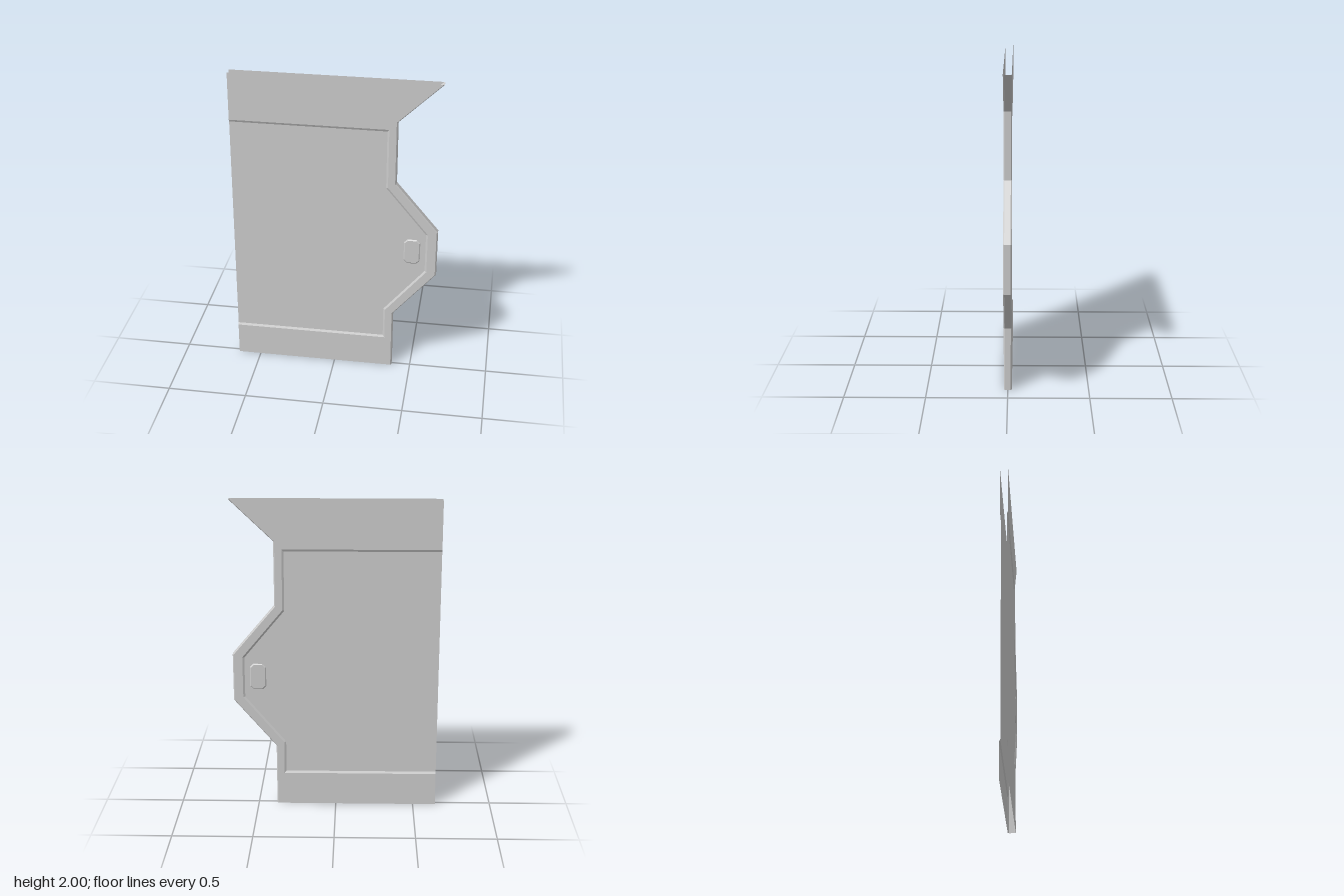
import * as THREE from 'three';

const LEFT = -0.645, SKIN = 0.025, FLOOR = 0.018, CHAMFER = 0.007;

// right-hand edge of the panel, bottom to top
const EDGE = [[0.38, 0], [0.38, 0.405], [0.645, 0.717], [0.645, 1.02], [0.38, 1.335], [0.38, 1.745], [0.645, 2]];
// rim and foot of the bevel around the recessed field, bottom to top
const RIM = [[LEFT, 0.214], [0.33, 0.214], [0.33, 0.428], [0.585, 0.735], [0.585, 1.002], [0.33, 1.31], [0.33, 1.696], [LEFT, 1.696]];
const FOOT = [[LEFT, 0.228], [0.318, 0.228], [0.318, 0.432], [0.573, 0.739], [0.573, 0.998], [0.318, 1.306], [0.318, 1.682], [LEFT, 1.682]];

const material = new THREE.MeshStandardMaterial({ color: 0xcccccc, flatShading: true, side: THREE.DoubleSide });

function part(name, geometry, z = 0) {
  const mesh = new THREE.Mesh(geometry, material);
  mesh.name = name;
  mesh.position.z = z;
  return mesh;
}

const shape = (points) => new THREE.Shape(points.map(([x, y]) => new THREE.Vector2(x, y)));

// flat-faced bands joining successive chains, each given as { points, z }
function loft(chains) {
  const pos = [];
  for (let c = 0; c < chains.length - 1; c++) {
    const a = chains[c], b = chains[c + 1];
    for (let i = 0; i < a.points.length - 1; i++) {
      const a0 = [...a.points[i], a.z], a1 = [...a.points[i + 1], a.z];
      const b0 = [...b.points[i], b.z], b1 = [...b.points[i + 1], b.z];
      pos.push(...a0, ...a1, ...b1, ...a0, ...b1, ...b0);
    }
  }
  const geometry = new THREE.BufferGeometry();
  geometry.setAttribute('position', new THREE.Float32BufferAttribute(pos, 3));
  geometry.computeVertexNormals();
  return geometry;
}

// raised plate with clipped corners and a bevelled edge
function plateGeometry(w, h, clip) {
  const x = w / 2, y = h / 2;
  const outline = [[-x + clip, -y], [x - clip, -y], [x, -y + clip], [x, y - clip],
    [x - clip, y], [-x + clip, y], [-x, y - clip], [-x, -y + clip]];
  return new THREE.ExtrudeGeometry(shape(outline), {
    depth: 0.002, bevelEnabled: true, bevelSegments: 1, bevelSize: 0.007, bevelThickness: 0.005,
  });
}

export function createModel() {
  const model = new THREE.Group();
  model.name = 'doorPanel';
  const inset = EDGE.map(([x, y]) => [x - CHAMFER, y]);

  // identical front and back skins
  for (const [name, side] of [['frontSkin', 1], ['backSkin', -1]]) {
    const skin = new THREE.Group();
    skin.name = name;
    skin.scale.z = side;
    // outer border runs around the recess, which is open at the left
    const border = [[LEFT, 0], ...inset, [LEFT, 2], ...[...RIM].reverse()];
    skin.add(part('border', new THREE.ShapeGeometry(shape(border)), SKIN));
    skin.add(part('recessBevel', loft([{ points: RIM, z: SKIN }, { points: FOOT, z: FLOOR }])));
    skin.add(part('recessFloor', new THREE.ShapeGeometry(shape(FOOT)), FLOOR));
    const plate = part('handlePlate', plateGeometry(0.088, 0.156, 0.018), 0.017);
    plate.position.x = 0.489;
    plate.position.y = 0.873;
    skin.add(plate);
    model.add(skin);
  }

  // chamfered edge closing the right side; top, bottom and left stay open
  model.add(part('edgeWall', loft([
    { points: inset, z: -SKIN },
    { points: EDGE, z: -SKIN + CHAMFER },
    { points: EDGE, z: SKIN - CHAMFER },
    { points: inset, z: SKIN },
  ])));
  return model;
}
